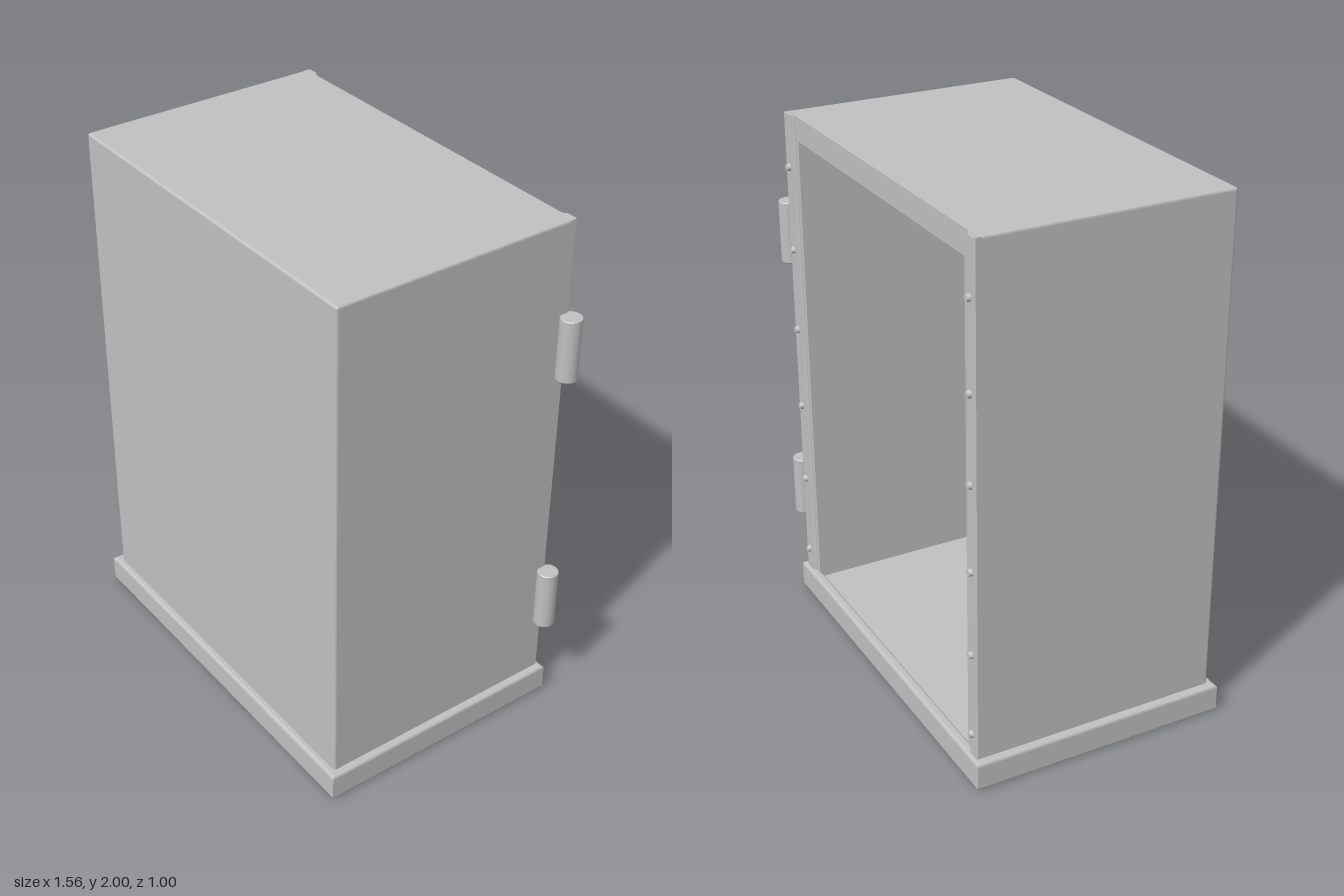
import * as THREE from 'three';
import { RoundedBoxGeometry } from 'three/addons/geometries/RoundedBoxGeometry.js';

const CX = -0.02;      // centre line of the cabinet body
const HALF = 0.73;     // half width of the body
const WALL = 0.09;     // wall thickness
const BACK = -0.46, FRONT = 0.472;
const INNER_FRONT = FRONT - WALL + 0.004;

const polygon = points => points.map(([x, y]) => new THREE.Vector2(x, y));

export function createModel() {
  const model = new THREE.Group();
  model.name = 'cabinet';
  const grey = new THREE.MeshStandardMaterial({ color: 0xc0c0c0 });
  grey.name = 'grey metal';

  const add = (name, geometry, x = 0, y = 0, z = 0) => {
    const mesh = new THREE.Mesh(geometry, grey);
    mesh.name = name;
    mesh.position.set(x, y, z);
    model.add(mesh);
  };

  // Plinth frame with softened edges, wider than the body all round
  const bevel = 0.012, halfIn = HALF - WALL;
  const x0 = -0.78 + bevel, x1 = 0.738 - bevel, z0 = -0.487 + bevel, z1 = 0.497 - bevel;
  const plinth = new THREE.Shape(polygon([[x0, -z1], [x1, -z1], [x1, -z0], [x0, -z0]]));
  const hx0 = CX - halfIn - bevel, hx1 = CX + halfIn + bevel;
  plinth.holes.push(new THREE.Path(polygon([
    [hx0, -INNER_FRONT - bevel], [hx0, -BACK], [hx1, -BACK], [hx1, -INNER_FRONT - bevel],
  ])));
  const base = new THREE.ExtrudeGeometry(plinth, {
    depth: 0.11 - 2 * bevel, bevelThickness: bevel, bevelSize: bevel, bevelSegments: 3,
  });
  base.rotateX(-Math.PI / 2);
  add('base', base, 0, bevel, 0);

  // Slightly sunken floor that also closes the underside
  add('floor', new THREE.BoxGeometry(2 * halfIn + 0.03, 0.092, INNER_FRONT - BACK + 0.02),
    CX, 0.046, (INNER_FRONT + BACK) / 2 + 0.004);

  // Side walls and top as one arch, open at the back
  const r = 0.01, foot = 0.09;
  const arch = new THREE.Shape();
  arch.moveTo(-HALF, foot);
  arch.lineTo(-halfIn, foot);
  arch.lineTo(-halfIn, 2 - WALL);
  arch.lineTo(halfIn, 2 - WALL);
  arch.lineTo(halfIn, foot);
  arch.lineTo(HALF, foot);
  arch.lineTo(HALF, 2 - r);
  arch.quadraticCurveTo(HALF, 2, HALF - r, 2);
  arch.lineTo(-HALF + r, 2);
  arch.quadraticCurveTo(-HALF, 2, -HALF, 2 - r);
  add('sidesAndTop', new THREE.ExtrudeGeometry(arch, {
    depth: INNER_FRONT + r - BACK, bevelEnabled: false, curveSegments: 4,
  }), CX, 0, BACK);

  // Closed front panel with softened edges
  add('frontPanel', new RoundedBoxGeometry(HALF * 2, 2 - foot + 0.01, FRONT - INNER_FRONT, 3, r),
    CX, (2 + foot - 0.01) / 2, (FRONT + INNER_FRONT) / 2);

  for (const side of [-1, 1]) {
    const name = side > 0 ? 'left' : 'right';

    // Upright flange along the back edge, drawn as a plan section (x, -z)
    const section = polygon([
      [0.73, 0.45], [0.73, 0.47], [0.725, 0.475], [0.684, 0.475],
      [0.676, 0.466], [0.664, 0.462], [0.66, 0.45],
    ].map(([x, z]) => [side * x, z]));
    const flange = new THREE.ExtrudeGeometry(new THREE.Shape(section), { depth: 1.9, bevelEnabled: false });
    flange.rotateX(-Math.PI / 2);
    add(name + 'Flange', flange, CX, 0.098, 0);

    // Rivets
    for (let i = 0; i < 6; i++) {
      const rivet = new THREE.CylinderGeometry(0.011, 0.015, 0.014, 12);
      rivet.rotateX(-Math.PI / 2);
      add(name + 'Rivet', rivet, CX + side * 0.698, 0.2 + i * 0.32, -0.481);
    }
  }

  // Barrel hinges at the back edge of the left side, each band with its own crisp edge
  const barrel = polygon([[0, -0.119], [0.036, -0.119], [0.039, -0.116], [0.039, 0.116], [0.036, 0.119], [0, 0.119]]);
  for (const y of [0.467, 1.535]) {
    for (let i = 0; i < barrel.length - 1; i++) {
      add('hinge', new THREE.LatheGeometry(barrel.slice(i, i + 2), 32), 0.739, y, -0.461);
    }
  }
  return model;
}
